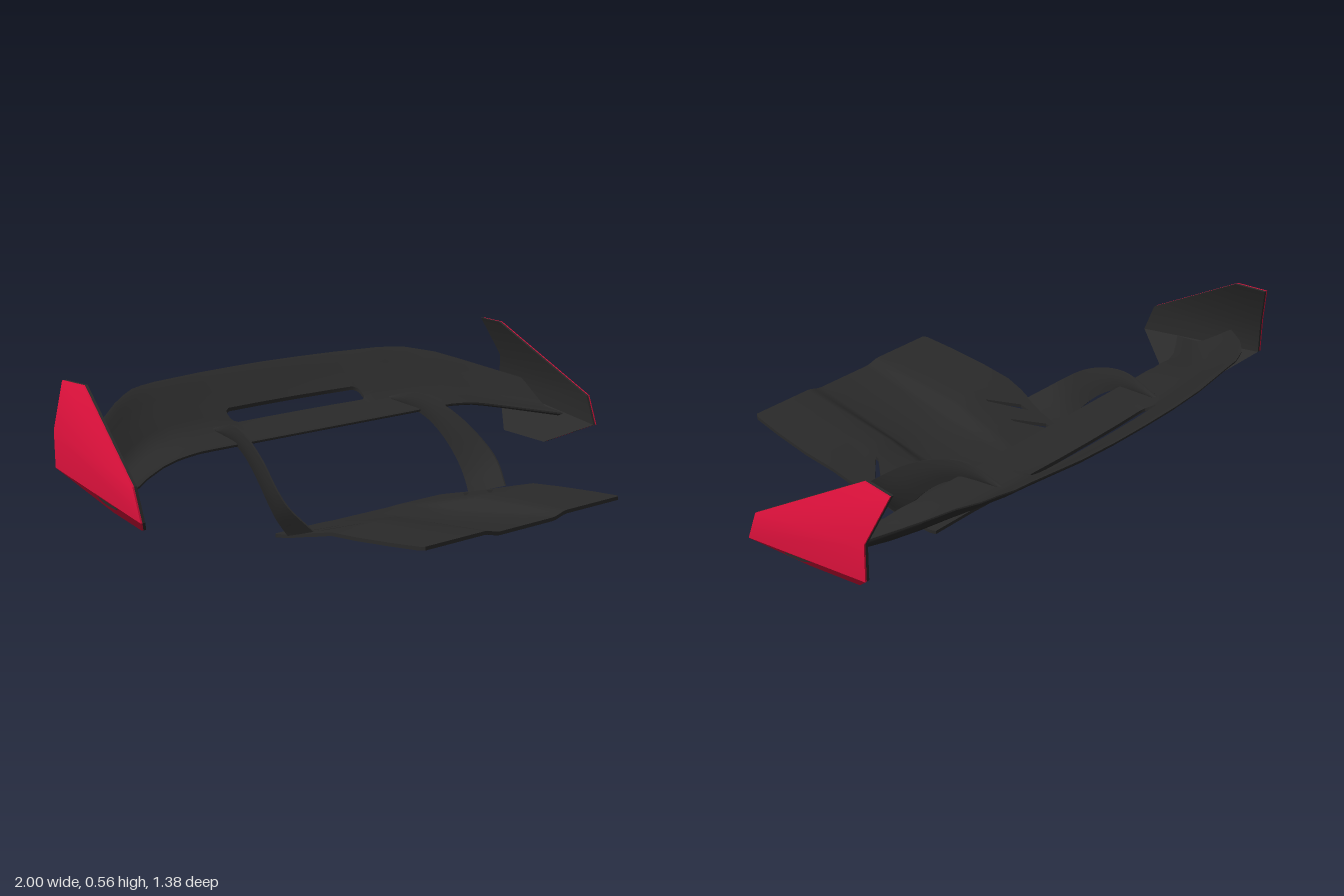
import * as THREE from 'three';
import { toCreasedNormals } from 'three/addons/utils/BufferGeometryUtils.js';

const dark = new THREE.MeshStandardMaterial({ color: 0x2a2a2a });
const red = new THREE.MeshStandardMaterial({ color: 0xd8103a });

// Piecewise linear lookup through [key, value] pairs with rising keys
function lookup(pairs, k) {
  if (k <= pairs[0][0]) return pairs[0][1];
  for (let n = 1; n < pairs.length; n++) {
    const [a, va] = pairs[n - 1], [b, vb] = pairs[n];
    if (k <= b) return va + (vb - va) * (k - a) / (b - a);
  }
  return pairs[pairs.length - 1][1];
}

// Closed thin shell over a grid of cells; omitted cells become walled holes
function shell(nu, nv, top, bottom, omit = () => false, flip = false) {
  const pos = [];
  const tri = (a, b, c) => {
    for (const p of flip ? [a, c, b] : [a, b, c]) pos.push(flip ? -p[0] : p[0], p[1], p[2]);
  };
  const quad = (a, b, c, d) => { tri(a, b, c); tri(a, c, d); };
  const solid = (i, j) => i >= 0 && j >= 0 && i < nu && j < nv && !omit(i, j);
  const wall = (p, q) => quad(top(...q), top(...p), bottom(...p), bottom(...q));
  for (let i = 0; i < nu; i++) for (let j = 0; j < nv; j++) {
    if (!solid(i, j)) continue;
    const a = [i, j], b = [i + 1, j], c = [i + 1, j + 1], d = [i, j + 1];
    quad(top(...a), top(...b), top(...c), top(...d));
    quad(bottom(...d), bottom(...c), bottom(...b), bottom(...a));
    if (!solid(i, j - 1)) wall(a, b);
    if (!solid(i + 1, j)) wall(b, c);
    if (!solid(i, j + 1)) wall(c, d);
    if (!solid(i - 1, j)) wall(d, a);
  }
  const geo = new THREE.BufferGeometry();
  geo.setAttribute('position', new THREE.Float32BufferAttribute(pos, 3));
  return toCreasedNormals(geo, 0.55);
}

const mirrored = (xs) => [...xs.slice(1).reverse().map((x) => -x), ...xs];

function part(name, geo, material) {
  const mesh = new THREE.Mesh(geo, material);
  mesh.name = name;
  return mesh;
}

// Swept wing with a long slot in the middle
function wing() {
  const xs = mirrored([0, 0.15, 0.28, 0.294, 0.3, 0.4, 0.5, 0.56, 0.61, 0.66, 0.72, 0.8, 0.9, 0.99]);
  const frontZ = [[0, -0.275], [0.5, -0.275], [0.61, -0.272], [0.72, -0.255], [0.8, -0.22], [0.99, -0.1]];
  const frontY = [[0, 0.303], [0.56, 0.303], [0.66, 0.295], [0.8, 0.268], [0.99, 0.232]];
  const backZ = [[0, -0.69], [0.15, -0.687], [0.3, -0.677], [0.5, -0.648], [0.56, -0.638], [0.61, -0.62], [0.66, -0.595], [0.8, -0.495], [0.99, -0.335]];
  const backY = [[0, 0.473], [0.5, 0.47], [0.61, 0.464], [0.72, 0.44], [0.8, 0.41], [0.99, 0.333]];
  const rise = [[0, 0], [0.03, 0.025], [0.25, 0.07], [0.38, 0.1], [0.46, 0.14], [0.53, 0.24], [0.61, 0.38], [0.75, 0.6], [0.9, 0.86], [0.97, 0.97], [1, 1]];
  const thick = [[0, 0.006], [0.03, 0.015], [0.25, 0.016], [0.46, 0.012], [0.61, 0.013], [0.9, 0.016], [0.97, 0.013], [1, 0.005]];
  const rows = [0, 0.03, 0.14, 0.25, 0.38, 'slotFront', 'slotBack', 0.68, 0.75, 0.83, 0.9, 0.97, 1];
  const slotHalf = [[0, 0.074], [0.28, 0.074], [0.294, 0.055], [0.3, 0.028]];
  const at = (i, j) => {
    const x = Math.abs(xs[i]);
    let s = rows[j];
    if (j === 5) s = 0.535 - lookup(slotHalf, x);
    if (j === 6) s = 0.535 + lookup(slotHalf, x);
    const mix = (a, b, k) => lookup(a, x) + (lookup(b, x) - lookup(a, x)) * k;
    return [s, [xs[i], mix(frontY, backY, lookup(rise, s)), mix(frontZ, backZ, s)]];
  };
  return part('wing', shell(xs.length - 1, rows.length - 1,
    (i, j) => at(i, j)[1],
    (i, j) => { const [s, [x, y, z]] = at(i, j); return [x, y - lookup(thick, s), z]; },
    (i, j) => j === 5 && Math.abs(xs[i] + xs[i + 1]) / 2 < 0.3), dark);
}

// Sloping base panel: sunken middle channel and two slanted vents per side
function basePanel() {
  const low = [[-0.13, 0.014], [0, 0.047], [0.27, 0.088], [0.69, 0.166]];
  const high = [[-0.13, 0.016], [0, 0.05], [0.27, 0.13], [0.69, 0.179]];
  const edge = [[-0.13, 0.368], [-0.115, 0.38], [-0.04, 0.4], [0.14, 0.425], [0.2, 0.44], [0.3, 0.45], [0.4, 0.45], [0.55, 0.442], [0.67, 0.43], [0.685, 0.42]];
  const cols = mirrored([0, 0.115, 0.13, 0.15, 0.165, 0.18, 0.28, 0.33, 0.375, 1]);
  // Each row runs level to the vents, then slants backwards across them: [inner z, outer z]
  const rows = [[0.685, 0.685], [0.67, 0.67], [0.55, 0.55], [0.4, 0.4], [0.3, 0.27], [0.27, 0.2],
    [0.235, 0.145], [0.223, 0.11], [0.165, 0.06], [0.112, 0.025], [0.1, -0.01],
    [0.04, -0.045], [-0.03, -0.08], [-0.115, -0.115], [-0.13, -0.13]];
  const slant = [[0.28, 0], [0.375, 1]];
  const at = (i, j) => {
    const c = Math.abs(cols[i]);
    const z = rows[j][0] + (rows[j][1] - rows[j][0]) * lookup(slant, c);
    const x = c === 1 ? lookup(edge, z) : Math.min(c, lookup(edge, z));
    const k = THREE.MathUtils.smoothstep(x, 0.115, 0.18);
    return [Math.sign(cols[i]) * x, THREE.MathUtils.lerp(lookup(low, z), lookup(high, z), k), z];
  };
  return part('basePanel', shell(cols.length - 1, rows.length - 1, at,
    (i, j) => { const [x, y, z] = at(i, j); return [x, y - 0.012, z]; },
    (i, j) => {
      const c = Math.abs(cols[i] + cols[i + 1]) / 2;
      return (j === 6 || j === 9) && c > 0.28 && c < 0.375;
    }), dark);
}

// Folded end plate: red outer skin over a dark inner skin
function endPlate(side, flip) {
  const rows = [
    [[0.9, 0.135, -0.11], [0.883, 0.147, -0.31]],
    [[1, 0.215, 0.05], [1, 0.285, -0.46]],
    [[1, 0.32, 0.01], [1, 0.41, -0.46]],
    [[0.925, 0.557, -0.39], [0.937, 0.557, -0.505]],
  ];
  const inset = (d) => (i, j) => { const [x, y, z] = rows[j][i]; return [x - d, y, z]; };
  const group = new THREE.Group();
  group.name = side + 'EndPlate';
  group.add(part(side + 'OuterSkin', shell(1, 3, inset(0), inset(0.006), undefined, flip), red));
  group.add(part(side + 'InnerSkin', shell(1, 3, inset(0.006), inset(0.016), undefined, flip), dark));
  return group;
}

// Curved blade strut from the base panel up onto the wing
function strut(side, flip) {
  const points = (list) => new THREE.CatmullRomCurve3(list.map((p) => new THREE.Vector3(...p)));
  const front = points([[0.425, 0.1, 0.155], [0.462, 0.165, 0.075], [0.466, 0.21, 0.02], [0.447, 0.29, -0.09],
    [0.425, 0.345, -0.21], [0.408, 0.362, -0.31], [0.394, 0.324, -0.45]]);
  const rear = points([[0.405, 0.043, -0.01], [0.42, 0.09, -0.05], [0.425, 0.14, -0.09], [0.422, 0.21, -0.155],
    [0.413, 0.27, -0.235], [0.404, 0.298, -0.31], [0.394, 0.314, -0.452]]);
  const n = 24, m = 4;
  const surface = (dir) => (i, j) => {
    const p = front.getPoint(j / n).lerp(rear.getPoint(j / n), i / m);
    const half = 0.003 + 0.005 * Math.sin(Math.PI * i / m);
    return [p.x + dir * half, p.y, p.z];
  };
  return part(side + 'Strut', shell(m, n, surface(1), surface(-1), undefined, flip), dark);
}

export function createModel() {
  const model = new THREE.Group();
  model.name = 'rearWing';
  model.add(wing(), basePanel());
  for (const [side, flip] of [['left', false], ['right', true]]) {
    model.add(endPlate(side, flip), strut(side, flip));
  }
  return model;
}
